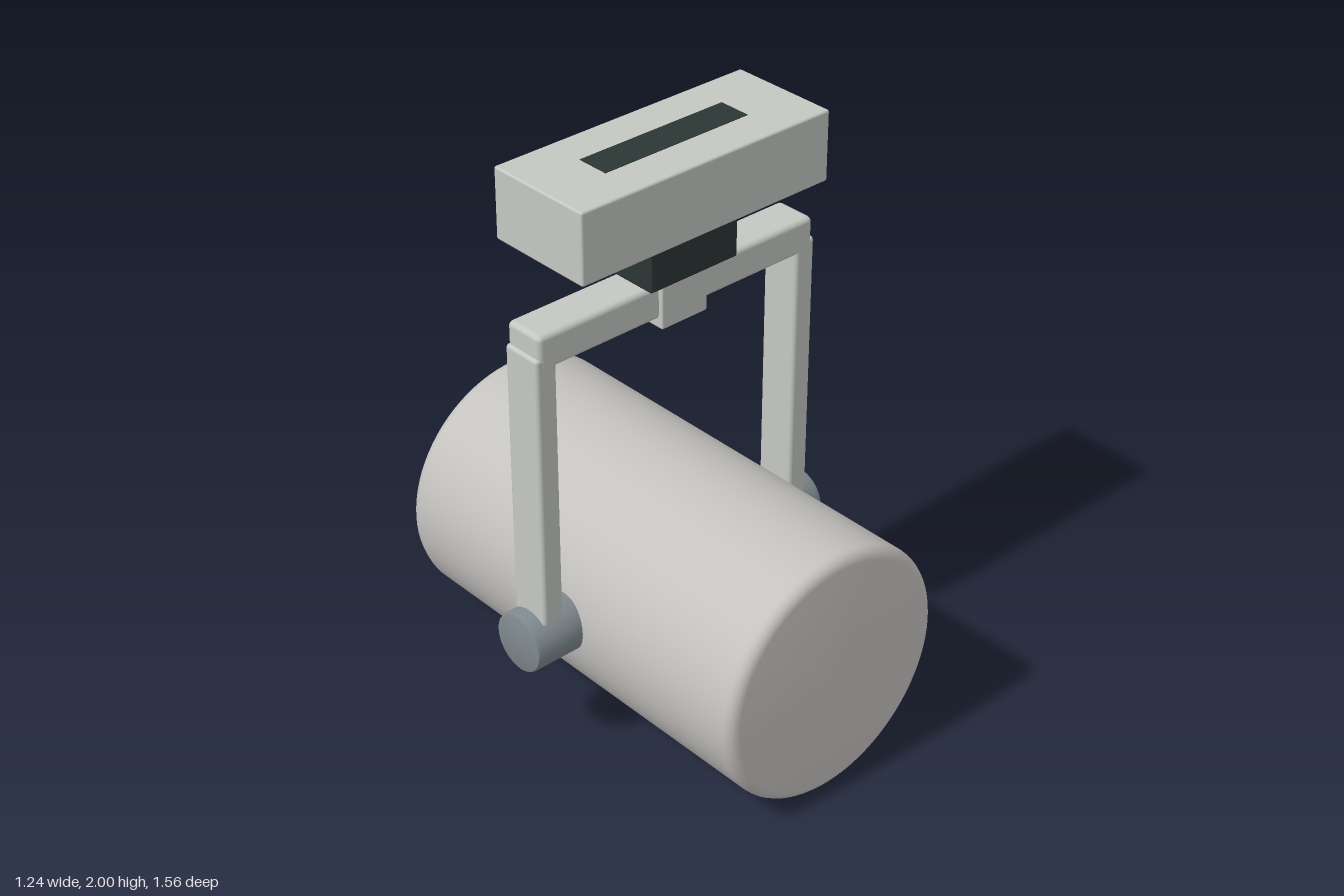
import * as THREE from 'three';
import { toCreasedNormals } from 'three/addons/utils/BufferGeometryUtils.js';
import { RoundedBoxGeometry } from 'three/addons/geometries/RoundedBoxGeometry.js';

const flat = (name, color) => Object.assign(new THREE.MeshStandardMaterial({ color }), { name });

export function createModel() {
  const mount = flat('mountGrey', 0xc4c7c2);
  const shell = flat('housingGrey', 0xc5c3c0);
  const steel = flat('steelGrey', 0x7f898e);
  const dark = flat('darkGrey', 0x2b3635);

  const model = new THREE.Group();
  model.name = 'trackSpotlight';
  const add = (name, geometry, material, x = 0, y = 0, z = 0) => {
    const mesh = new THREE.Mesh(geometry, material);
    mesh.name = name;
    mesh.position.set(x, y, z);
    model.add(mesh);
    return mesh;
  };
  // Rounded box given by its lower and upper height
  const block = (name, material, x, w, y0, y1, d, r) =>
    add(name, new RoundedBoxGeometry(w, y1 - y0, d, 2, r), material, x, (y0 + y1) / 2);

  // Ceiling mount
  block('ceilingBox', mount, 0, 0.98, 1.76, 2, 0.39, 0.008);
  add('trackSlot', new THREE.BoxGeometry(0.562, 0.006, 0.114), dark, 0, 1.9985);
  block('adapter', dark, 0, 0.35, 1.59, 1.762, 0.268, 0.008);
  block('stem', mount, 0, 0.184, 1.415, 1.6, 0.18, 0.006);

  // Yoke and pivot knobs
  block('yokeBar', mount, 0, 1.116, 1.445, 1.565, 0.148, 0.018);
  for (const s of [-1, 1]) {
    const side = s > 0 ? 'left' : 'right';
    block(side + 'YokeArm', mount, s * 0.53, 0.078, 0.515, 1.49, 0.146, 0.013);
    const knob = turned([[0, -0.095], [0.103, -0.095], [0.103, 0.084], [0.1, 0.092], [0.092, 0.095], [0, 0.095]], 48);
    knob.rotateZ(-s * Math.PI / 2);
    add(side + 'PivotKnob', knob, steel, s * 0.525, 0.445);
  }

  // Housing: bore, rounded rim, outside and closed front, turned about z
  const profile = [[0.34, -0.39], [0.365, -0.72]];
  const corner = (r, y, radius, from, to) => {
    for (let i = 0; i <= 5; i++) {
      const a = from + (to - from) * i / 5;
      profile.push([r + radius * Math.cos(a), y + radius * Math.sin(a)]);
    }
  };
  corner(0.405, -0.745, 0.036, Math.PI, Math.PI * 2);
  corner(0.401, 0.741, 0.04, 0, Math.PI / 2);
  profile.push([0, 0.781]);
  const lampPart = (name, points, material) =>
    add(name, turned(points, 80).rotateX(Math.PI / 2), material, 0, 0.442);
  lampPart('housing', profile, shell);
  lampPart('reflector', [[0.2, -0.28], [0.34, -0.39]], steel);
  lampPart('lens', [[0, -0.28], [0.2, -0.28]], dark);

  return model;
}

// Solid of revolution with sharp edges kept
function turned(points, sides) {
  const pts = points.map(([r, y]) => new THREE.Vector2(Math.max(r, 0), y));
  return toCreasedNormals(new THREE.LatheGeometry(pts, sides), 0.7);
}
